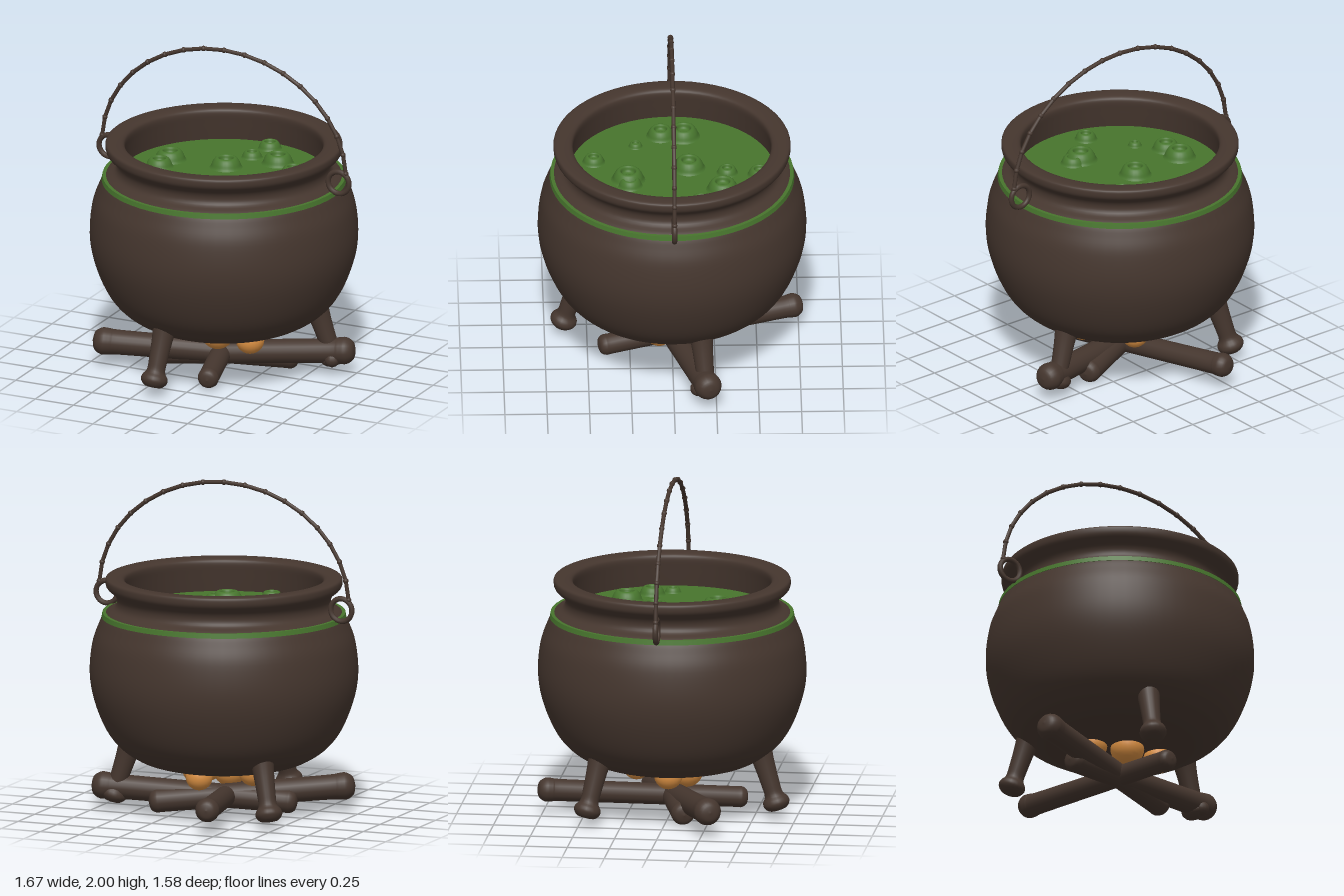
import * as THREE from 'three';

const V = (x, y, z) => new THREE.Vector3(x, y, z);
const mat = (name, color) => {
  const m = new THREE.MeshStandardMaterial({ color });
  m.name = name;
  return m;
};

// Revolved smooth profile, listed from the bottom outside upwards
function lathe(points, sides, divisions) {
  const pts = new THREE.SplineCurve(points.map(([x, y]) => new THREE.Vector2(x, y))).getPoints(divisions);
  pts.forEach((p) => { p.x = Math.max(p.x, 0); });
  return new THREE.LatheGeometry(pts, sides);
}

export function createModel() {
  const model = new THREE.Group();
  model.name = 'cauldron';
  const iron = mat('dark brown', 0x45362e);
  const green = mat('potion green', 0x47752d);
  const ember = mat('ember orange', 0xd98f42);

  const add = (name, geometry, material, parent = model) => {
    const mesh = new THREE.Mesh(geometry, material);
    mesh.name = name;
    parent.add(mesh);
    return mesh;
  };
  // Points a mesh's y axis from a to b, with its origin at the middle
  const span = (mesh, a, b) => {
    mesh.position.copy(a).lerp(b, 0.5);
    mesh.quaternion.setFromUnitVectors(V(0, 1, 0), b.clone().sub(a).normalize());
    return mesh;
  };

  // Pot: round belly, pinched neck, flared rim and inner wall
  add('pot', lathe([
    [0, 0.258], [0.22, 0.265], [0.43, 0.303], [0.54, 0.35], [0.625, 0.415], [0.69, 0.5], [0.745, 0.62],
    [0.782, 0.75], [0.792, 0.88], [0.775, 1.03], [0.74, 1.13], [0.705, 1.2], [0.645, 1.235],
    [0.63, 1.275], [0.645, 1.315], [0.69, 1.355], [0.7, 1.39], [0.69, 1.415], [0.64, 1.418],
    [0.6, 1.41], [0.585, 1.385], [0.592, 1.32], [0.608, 1.21],
  ], 64, 96), iron);

  // Potion surface and the green band around the shoulder
  const surface = add('potionSurface', new THREE.CircleGeometry(0.612, 64), green);
  surface.rotation.x = -Math.PI / 2;
  surface.position.y = 1.218;
  add('shoulderBand', new THREE.CylinderGeometry(0.717, 0.722, 0.028, 64), green).position.y = 1.193;

  // Bubbles with sunken tops: x, z, radius
  const bubbles = new THREE.Group();
  bubbles.name = 'bubbles';
  model.add(bubbles);
  const bubbleShape = lathe([
    [1.12, -0.05], [0.98, 0.1], [0.88, 0.36], [0.72, 0.6], [0.56, 0.67], [0.46, 0.6], [0.4, 0.4], [0.25, 0.3], [0, 0.28],
  ], 24, 24);
  [
    [0.05, -0.515, 0.068], [0.025, -0.325, 0.06], [0.21, -0.295, 0.092], [0.375, -0.165, 0.075],
    [0.44, -0.05, 0.048], [-0.035, -0.1, 0.092], [-0.39, -0.075, 0.092], [-0.395, 0.06, 0.08],
    [-0.28, 0.21, 0.04], [0.09, 0.26, 0.095], [0.155, 0.25, 0.07], [-0.11, 0.46, 0.064],
  ].forEach(([x, z, r]) => {
    const bubble = add('bubble', bubbleShape, green, bubbles);
    bubble.position.set(x, 1.218, z);
    bubble.scale.setScalar(r);
  });

  // Handle: jointed bail made of short rods with a knuckle at each joint
  const handle = new THREE.Group();
  handle.name = 'handle';
  model.add(handle);
  const joints = 18;
  const arc = (i) => {
    const t = 0.05 + (i / joints) * (Math.PI - 0.1);
    return V(0.8 * Math.cos(t), 1.3 + 0.684 * Math.sin(t), 0);
  };
  for (let i = 0; i <= joints; i++) {
    const p = arc(i);
    add('handleKnuckle', new THREE.SphereGeometry(0.0165, 10, 8), iron, handle).position.copy(p);
    if (i === joints) break;
    const q = arc(i + 1);
    span(add('handleRod', new THREE.CylinderGeometry(0.0125, 0.0125, p.distanceTo(q), 8), iron, handle), p, q);
  }
  for (const side of [-1, 1]) {
    add('handleRing', new THREE.TorusGeometry(0.068, 0.016, 10, 28), iron, handle).position.set(side * 0.752, 1.272, 0);
  }

  // Three splayed legs with rounded feet
  const legShape = lathe([
    [0, -0.205], [0.05, -0.2], [0.078, -0.17], [0.076, -0.14], [0.055, -0.105], [0.055, -0.04], [0.062, 0.08], [0.072, 0.17],
  ], 20, 30);
  for (let i = 0; i < 3; i++) {
    const a = THREE.MathUtils.degToRad(103 + 120 * i);
    const at = (r, y) => V(r * Math.cos(a), y, r * Math.sin(a));
    span(add('leg', legShape, iron), at(0.668, 0.06), at(0.54, 0.45));
  }

  // Crossed firewood, each log sloping down to one end: high end, low end, radius
  [
    [V(-0.65, 0.16, 0.29), V(0.36, 0.075, -0.16), 0.079],
    [V(0.695, 0.152, -0.2), V(-0.37, 0.078, 0.11), 0.079],
    [V(-0.2, 0.155, -0.72), V(0.09, 0.075, 0.395), 0.07],
  ].forEach(([a, b, r]) => {
    const h = a.distanceTo(b) / 2;
    const low = r * 0.88;
    const profile = [
      [0, -h - r * 0.8], [r * 0.65, -h - r * 0.65], [r, -h - r * 0.15], [r, -h + r * 0.4], [r * 0.93, -h + r * 1.4],
      [r * 0.9, 0], [low, h - r * 1.4], [low, h - r * 0.3], [low, h + r * 0.1], [low * 0.7, h + r * 0.5], [0, h + r * 0.65],
    ];
    span(add('log', lathe(profile, 20, 44), iron), a, b);
  });
  // Knot on the right-hand log
  add('logKnot', new THREE.SphereGeometry(0.045, 14, 10), iron).position.set(0.64, 0.105, -0.14);

  // Glowing embers under the pot: x, y, z, radius
  [
    [0, 0.25, 0.085, 0.1], [0.21, 0.235, 0.08, 0.085], [-0.185, 0.262, 0.0, 0.085],
    [0.065, 0.25, -0.22, 0.08], [0.07, 0.275, -0.06, 0.075],
  ].forEach(([x, y, z, r]) => {
    add('ember', new THREE.SphereGeometry(r, 24, 16), ember).position.set(x, y, z);
  });

  return model;
}
